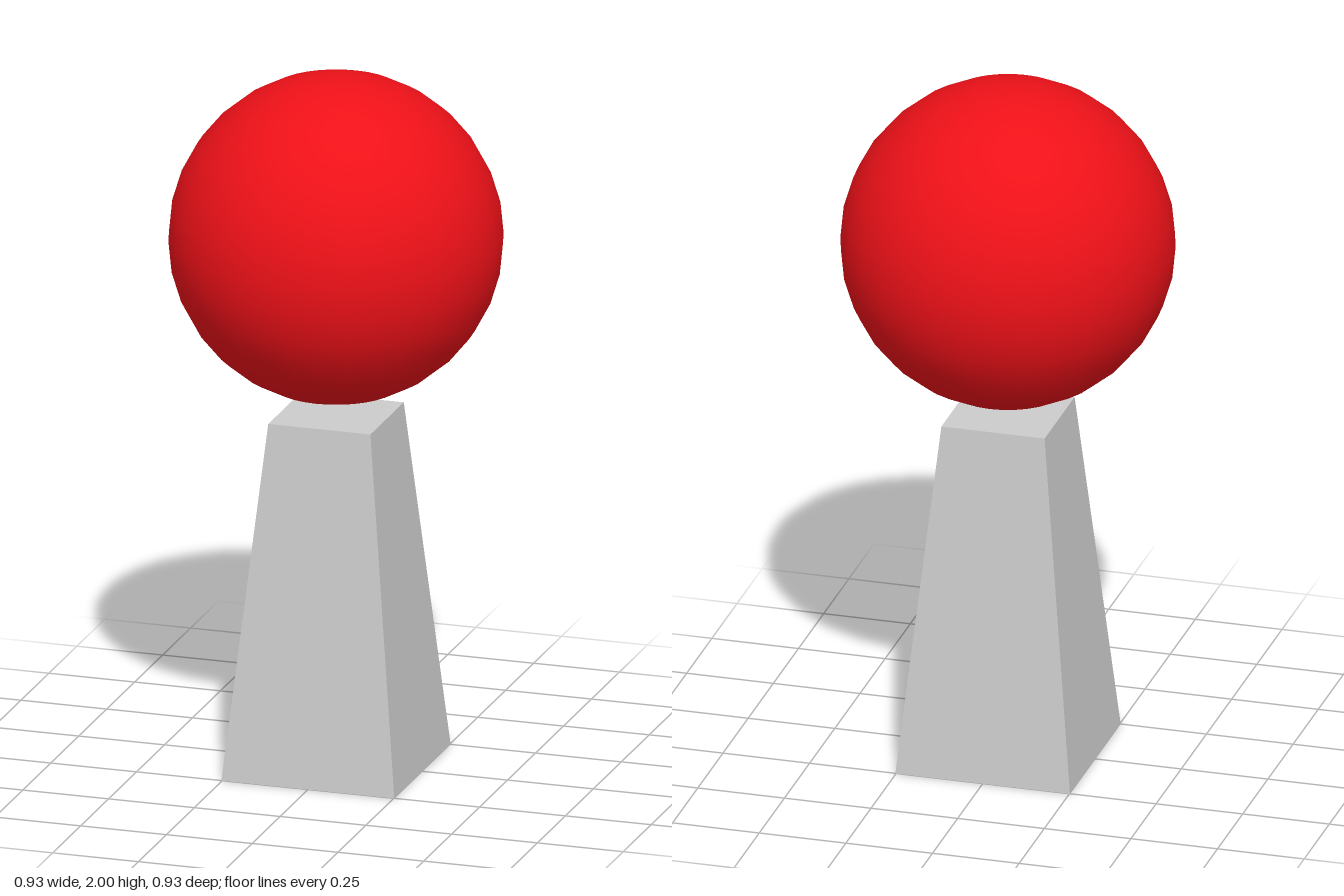
import * as THREE from 'three';

export function createModel() {
  const group = new THREE.Group();

  // Square tapered pedestal: a four-sided cylinder turned so its faces meet the axes
  const height = 1.02, bottomHalf = 0.252, topHalf = 0.149;
  const pedestalGeometry = new THREE.CylinderGeometry(
    topHalf * Math.SQRT2, bottomHalf * Math.SQRT2, height, 4);
  pedestalGeometry.rotateY(Math.PI / 4);
  const pedestal = new THREE.Mesh(
    pedestalGeometry,
    new THREE.MeshStandardMaterial({ color: 0xcccccc, flatShading: true }));
  pedestal.name = 'pedestal';
  pedestal.position.y = height / 2;
  group.add(pedestal);

  // Red ball floating just above the pedestal
  const radius = 0.466;
  const ball = new THREE.Mesh(
    new THREE.SphereGeometry(radius, 32, 16),
    new THREE.MeshStandardMaterial({ color: 0xee1118 }));
  ball.name = 'ball';
  ball.position.y = 2 - radius;
  group.add(ball);

  return group;
}
